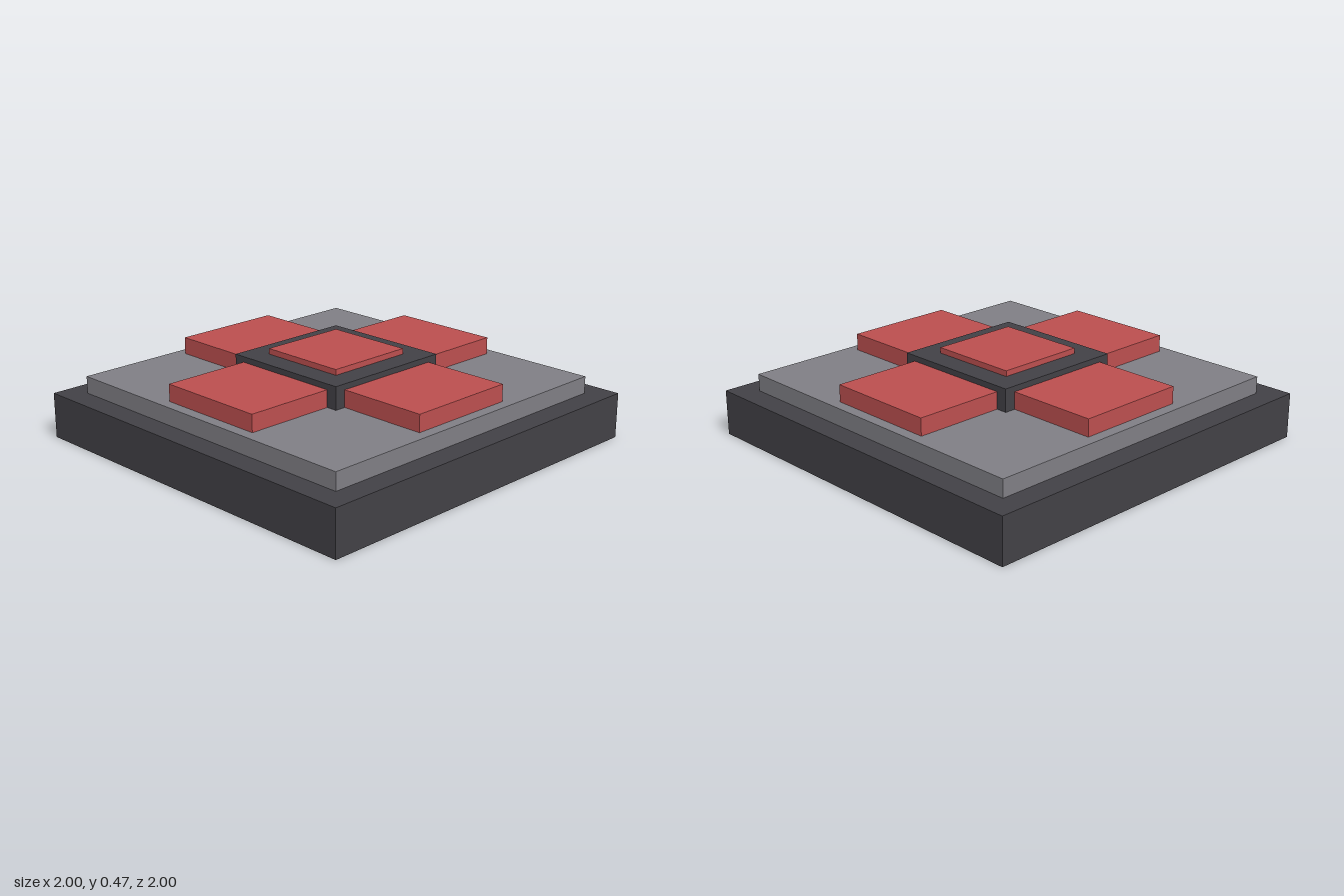
import * as THREE from 'three';

const material = (name, color) => {
  const m = new THREE.MeshStandardMaterial({ color });
  m.name = name;
  return m;
};

export function createModel() {
  const dark = material('charcoal', 0x424146);
  const grey = material('grey', 0x807f85);
  const red = material('red', 0xbc4f4f);
  const group = new THREE.Group();
  group.name = 'directionPad';

  // Box standing between two heights
  const slab = (name, mat, width, depth, y0, y1, x = 0, z = 0) => {
    const mesh = new THREE.Mesh(new THREE.BoxGeometry(width, y1 - y0, depth), mat);
    mesh.name = name;
    mesh.position.set(x, (y0 + y1) / 2, z);
    group.add(mesh);
  };

  // Stepped base
  slab('base', dark, 2, 2, 0, 0.235);
  slab('topPlate', grey, 1.76, 1.76, 0.235, 0.324);

  // Four pads around the hub
  const inner = 0.35, outer = 0.822, width = 0.588;
  const length = outer - inner, centre = (inner + outer) / 2;
  for (const [side, s] of [['left', 1], ['right', -1]]) {
    slab(side + 'Pad', red, length, width, 0.324, 0.412, s * centre, 0);
  }
  for (const [side, s] of [['front', 1], ['back', -1]]) {
    slab(side + 'Pad', red, width, length, 0.324, 0.412, 0, s * centre);
  }

  // Central hub and its button
  slab('hub', dark, 0.704, 0.704, 0.324, 0.441);
  slab('centreButton', red, 0.47, 0.47, 0.441, 0.47);

  return group;
}
